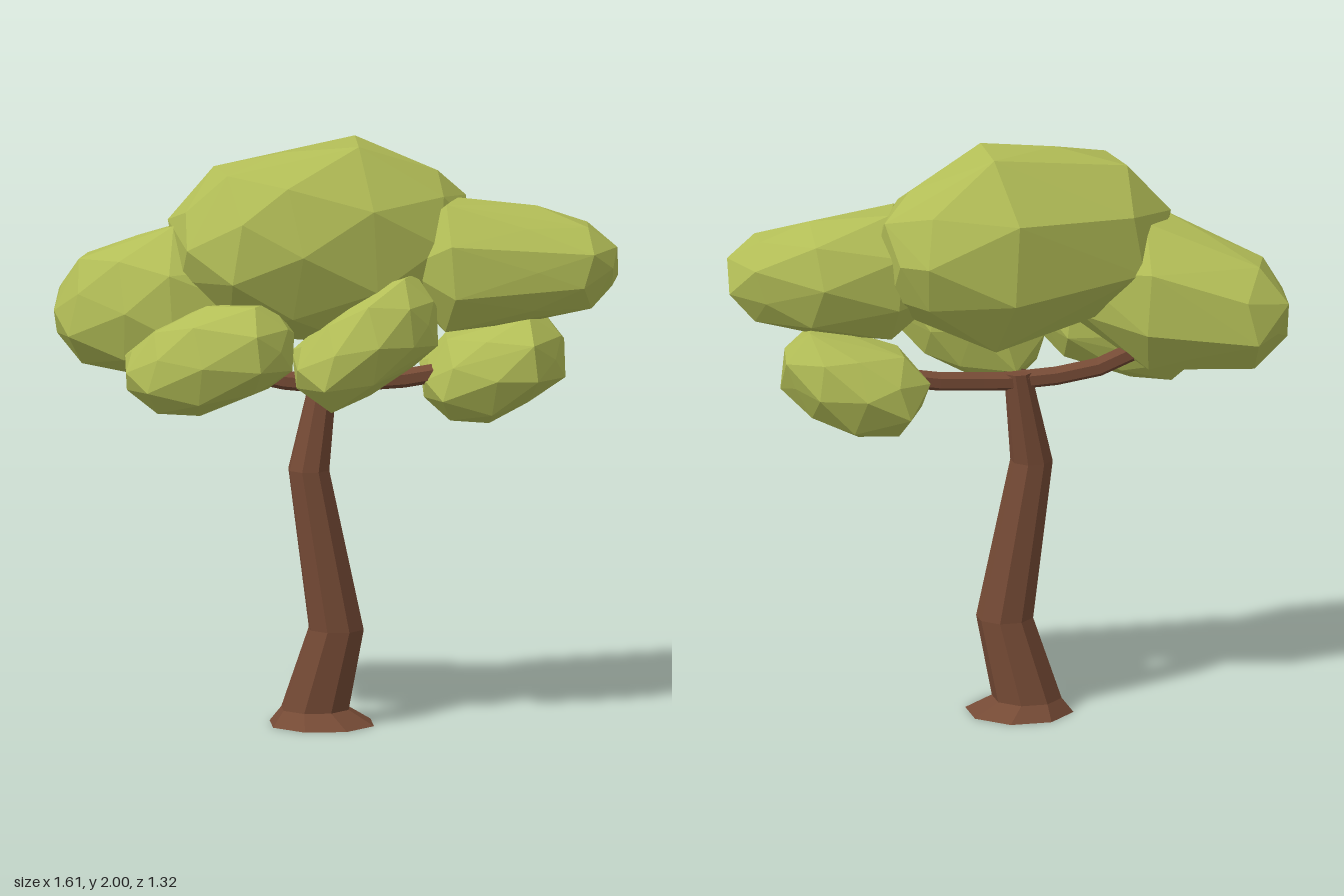
import * as THREE from 'three';
import { ConvexGeometry } from 'three/addons/geometries/ConvexGeometry.js';

const leaf = new THREE.MeshStandardMaterial({ color: 0xb3be57, flatShading: true });
const bark = new THREE.MeshStandardMaterial({ color: 0x754a35, flatShading: true, side: THREE.DoubleSide });

// End cap of a clump: the nearest section at half size, moved out to the tip
function cap(tip, [, w, y, halfW, halfH]) {
  return [tip, w, y, halfW * 0.5, halfH * 0.5];
}

// Faceted boulder: convex hull of staggered rings standing across a horizontal direction.
// Each section is [distance along, centre across, centre y, half width, half height].
function clump({ name, along: [hx, hz], tips, sections }) {
  const rings = [cap(tips[0], sections[0]), ...sections, cap(tips[1], sections.at(-1))];
  const points = [];
  rings.forEach(([t, w, y, halfW, halfH], k) => {
    const sides = k === 0 || k === rings.length - 1 ? 5 : 8;
    const grow = k % 2 ? 1 / Math.cos(Math.PI / sides) : 1;
    for (let i = 0; i < sides; i++) {
      const a = ((i + (k % 2) * 0.5) / sides) * Math.PI * 2;
      const across = w + halfW * grow * Math.cos(a);
      // a small shift along the clump breaks up the regular facets
      const s = t + 0.02 * Math.sin(i * 2.4 + k);
      points.push(new THREE.Vector3(
        s * hx - across * hz, y + halfH * grow * Math.sin(a), s * hz + across * hx));
    }
  });
  const mesh = new THREE.Mesh(new ConvexGeometry(points), leaf);
  mesh.name = name;
  return mesh;
}

// Trunk skin through horizontal rings given as [y, centre x, centre z, radius]
function ringLoft(rings, sides) {
  const pos = [];
  const index = [];
  rings.forEach(([y, x, z, r]) => {
    for (let i = 0; i < sides; i++) {
      const a = ((i + 0.5) / sides) * Math.PI * 2;
      pos.push(x + r * Math.cos(a), y, z + r * Math.sin(a));
    }
  });
  for (let k = 0; k < rings.length - 1; k++) {
    for (let i = 0; i < sides; i++) {
      const a = k * sides + i;
      const b = k * sides + ((i + 1) % sides);
      index.push(a, a + sides, b, b, a + sides, b + sides);
    }
  }
  const geo = new THREE.BufferGeometry();
  geo.setAttribute('position', new THREE.Float32BufferAttribute(pos, 3));
  geo.setIndex(index);
  geo.computeVertexNormals();
  return geo;
}

export function createModel() {
  const tree = new THREE.Group();
  tree.name = 'tree';

  // Crooked trunk with a flared, open foot
  const trunk = new THREE.Mesh(ringLoft([
    [0, 0.007, 0.038, 0.186],
    [0.05, -0.02, 0.042, 0.12],
    [0.33, 0.051, 0.014, 0.098],
    [0.88, -0.017, 0.078, 0.073],
    [1.2, 0.006, 0.025, 0.047],
  ], 8), bark);
  trunk.name = 'trunk';
  tree.add(trunk);

  // Two branches spreading from the trunk top into the foliage
  const branches = [
    ['leftBranch', [[0.02, 1.17, 0.02], [-0.14, 1.19, 0.14], [-0.28, 1.24, 0.24], [-0.42, 1.36, 0.34]]],
    ['rightBranch', [[-0.02, 1.17, 0.04], [0.13, 1.18, -0.1], [0.28, 1.2, -0.24], [0.42, 1.26, -0.36]]],
  ];
  for (const [name, path] of branches) {
    const curve = new THREE.CatmullRomCurve3(path.map((p) => new THREE.Vector3(...p)));
    const branch = new THREE.Mesh(new THREE.TubeGeometry(curve, 4, 0.033, 6), bark);
    branch.name = name;
    tree.add(branch);
  }

  // Foliage clumps strung along one diagonal
  const foliage = new THREE.Group();
  foliage.name = 'foliage';
  [
    { name: 'crownClump', along: [0.6, -0.8], tips: [-0.52, 0.47], sections: [
      [-0.37, 0.02, 1.67, 0.23, 0.25],
      [-0.17, 0.04, 1.66, 0.26, 0.32],
      [0.1, 0, 1.66, 0.26, 0.34],
      [0.37, 0.01, 1.66, 0.19, 0.23]] },
    { name: 'leftClump', along: [0.91, -0.41], tips: [-0.91, -0.2], sections: [
      [-0.82, 0.13, 1.41, 0.15, 0.18],
      [-0.63, 0.17, 1.44, 0.2, 0.24],
      [-0.46, 0.16, 1.47, 0.2, 0.26]] },
    { name: 'rightClump', along: [0.77, -0.64], tips: [0.97, 0.27], sections: [
      [0.89, 0.01, 1.58, 0.13, 0.14],
      [0.7, -0.02, 1.58, 0.18, 0.2],
      [0.42, 0.01, 1.58, 0.17, 0.22]] },
    { name: 'lowerLeftClump', along: [0.85, -0.53], tips: [-0.64, -0.09], sections: [
      [-0.54, 0.28, 1.25, 0.13, 0.14],
      [-0.38, 0.3, 1.29, 0.16, 0.19],
      [-0.18, 0.3, 1.34, 0.14, 0.15]] },
    { name: 'lowerMiddleClump', along: [0.77, -0.64], tips: [-0.1, 0.36], sections: [
      [0.01, 0.18, 1.26, 0.15, 0.15],
      [0.16, 0.18, 1.35, 0.16, 0.19],
      [0.28, 0.17, 1.41, 0.11, 0.16]] },
    { name: 'lowerRightClump', along: [0.77, -0.64], tips: [0.33, 0.79], sections: [
      [0.41, -0.07, 1.18, 0.17, 0.14],
      [0.56, -0.06, 1.2, 0.21, 0.18],
      [0.7, -0.04, 1.26, 0.18, 0.15]] },
  ].forEach((spec) => foliage.add(clump(spec)));
  tree.add(foliage);

  return tree;
}
